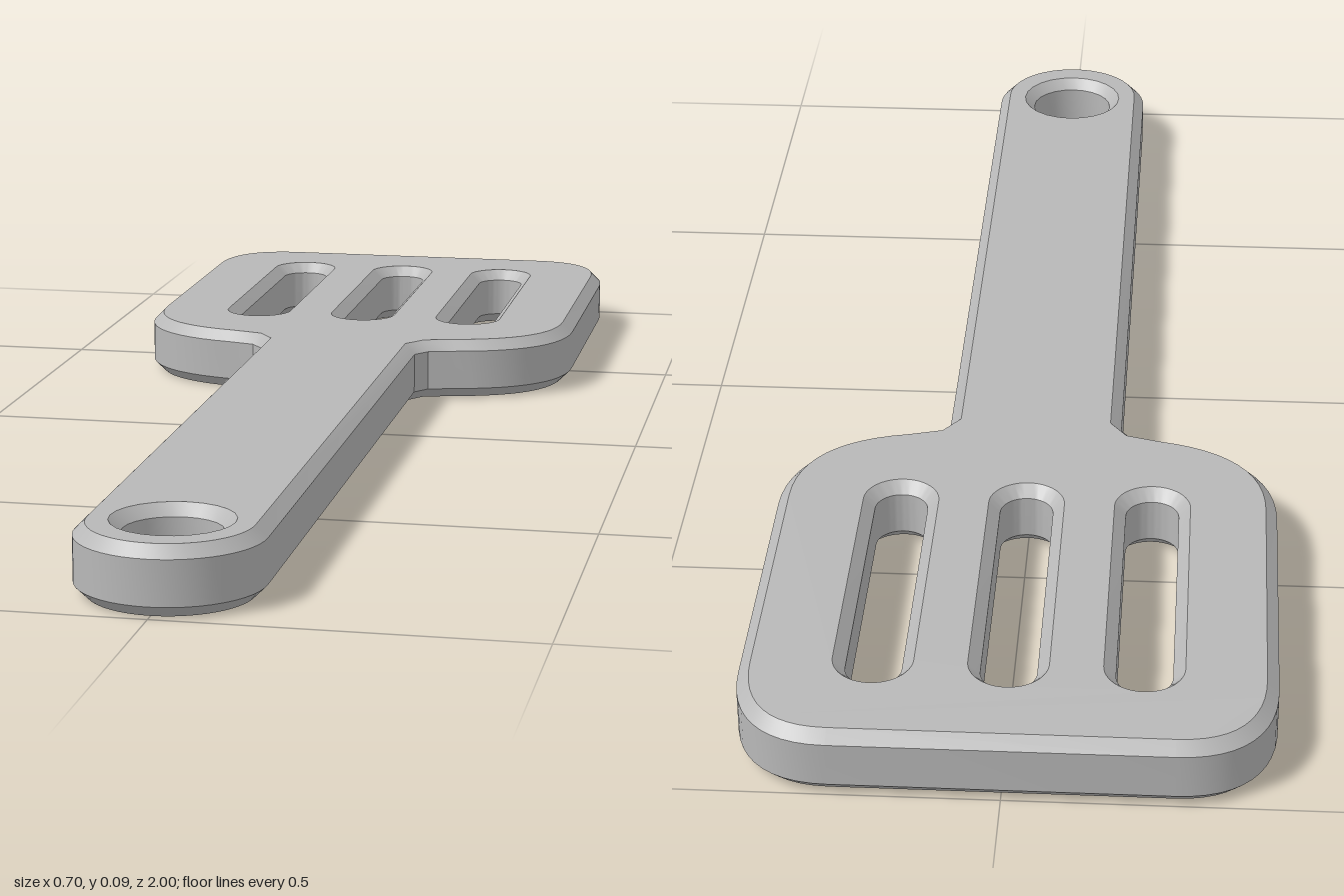
import * as THREE from 'three';
import { toCreasedNormals } from 'three/addons/utils/BufferGeometryUtils.js';

const THICKNESS = 0.093;
const BEVEL = 0.016;

// Plan outline drawn with its second axis towards the blade tip (-z)
function outline() {
  const s = new THREE.Shape();
  s.moveTo(0.125, -0.875);
  // right side of the handle, flared neck and blade
  s.lineTo(0.125, 0.225);
  s.lineTo(0.143, 0.25);
  s.lineTo(0.185, 0.262);
  s.bezierCurveTo(0.29, 0.282, 0.35, 0.345, 0.35, 0.45);
  s.lineTo(0.35, 0.85);
  s.bezierCurveTo(0.35, 0.945, 0.305, 1, 0.22, 1);
  // mirrored left side
  s.lineTo(-0.22, 1);
  s.bezierCurveTo(-0.305, 1, -0.35, 0.945, -0.35, 0.85);
  s.lineTo(-0.35, 0.45);
  s.bezierCurveTo(-0.35, 0.345, -0.29, 0.282, -0.185, 0.262);
  s.lineTo(-0.143, 0.25);
  s.lineTo(-0.125, 0.225);
  s.lineTo(-0.125, -0.875);
  // round handle end
  s.absarc(0, -0.875, 0.125, Math.PI, 2 * Math.PI, false);
  return s;
}

// Long slot with round ends
function slot(x, near, far, r) {
  const p = new THREE.Path();
  p.absarc(x, far - r, r, 0, Math.PI, false);
  p.absarc(x, near + r, r, Math.PI, 2 * Math.PI, false);
  p.closePath();
  return p;
}

export function createModel() {
  const group = new THREE.Group();
  group.name = 'spatula';
  const grey = new THREE.MeshStandardMaterial({ color: 0xb8b8b8 });
  grey.name = 'grey';

  const shape = outline();
  for (const x of [-0.176, 0, 0.176]) shape.holes.push(slot(x, 0.415, 0.87, 0.037));

  // Hanging hole
  const hole = new THREE.Path();
  hole.absarc(0, -0.866, 0.066, 0, 2 * Math.PI, false);
  shape.holes.push(hole);

  const geometry = new THREE.ExtrudeGeometry(shape, {
    depth: THICKNESS - 2 * BEVEL,
    bevelEnabled: true,
    bevelThickness: BEVEL,
    bevelSize: BEVEL,
    bevelOffset: -BEVEL,
    bevelSegments: 1,
    curveSegments: 12,
  });
  geometry.rotateX(-Math.PI / 2);
  geometry.translate(0, BEVEL, 0);

  const body = new THREE.Mesh(toCreasedNormals(geometry, 0.5), grey);
  body.name = 'slottedBladeAndHandle';
  group.add(body);
  return group;
}
